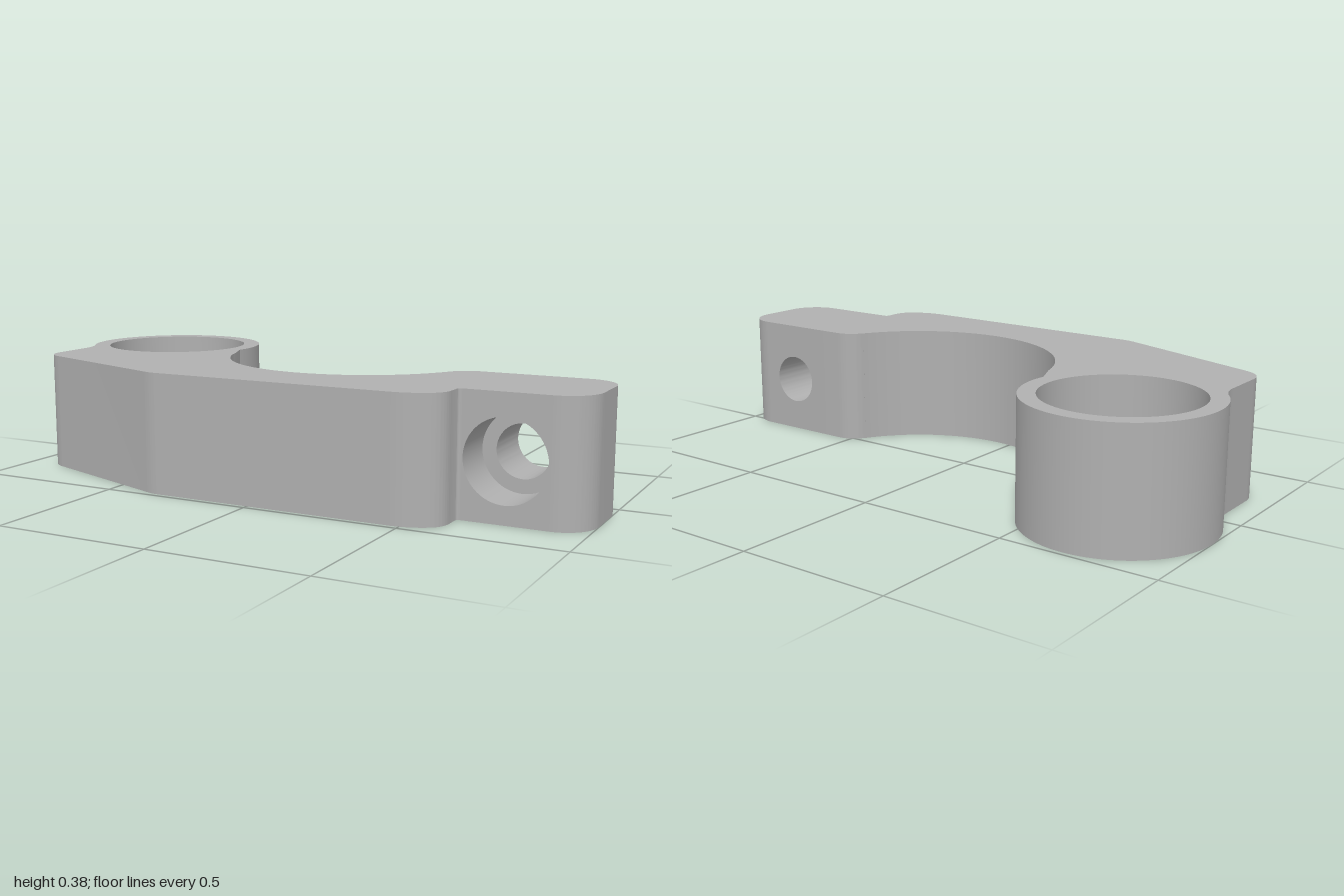
import * as THREE from 'three';
import { toCreasedNormals } from 'three/addons/utils/BufferGeometryUtils.js';

const H = 0.383;            // height of the arm
const BACK = -0.02;         // back face of the clamp lug
const FRONT = 0.333;        // front face of the clamp lug
const LUG_X0 = 0.625, LUG_X1 = 0.89;

export function createModel() {
  const group = new THREE.Group();
  const metal = new THREE.MeshStandardMaterial({ color: 0xb0b0b0 });
  metal.name = 'grey metal';

  const extrude = (shape, depth) => toCreasedNormals(
    new THREE.ExtrudeGeometry(shape, { depth, bevelEnabled: false, curveSegments: 40 }), 0.3);
  const add = (name, geometry) => {
    const mesh = new THREE.Mesh(geometry, metal);
    mesh.name = name;
    group.add(mesh);
  };
  // Plan shapes are drawn in (x, -z) and raised along y
  const raise = (shape, depth) => extrude(shape, depth).rotateX(-Math.PI / 2);
  const circle = (Type, x, y, r) => new Type().absarc(x, y, r, 0, Math.PI * 2, false);
  const ring = (x, y, outer, inner) => {
    const shape = circle(THREE.Shape, x, y, outer);
    shape.holes.push(circle(THREE.Path, x, y, inner));
    return shape;
  };

  // Curved arm with the round boss at its left end
  const bore = { x: -0.7, y: 0.185 };
  const arm = new THREE.Shape();
  arm.moveTo(LUG_X0, -BACK);
  arm.lineTo(0.548, -BACK);
  arm.quadraticCurveTo(0.491, -BACK, 0.465, -0.03);
  arm.absarc(0.065, 0.18, 0.451, -0.483, -2.872, true);
  arm.absarc(bore.x, bore.y, 0.3, -0.15, 3.75, false);
  arm.quadraticCurveTo(-0.92, -0.024, -0.92, -0.07);
  arm.lineTo(-0.92, -0.21);
  arm.quadraticCurveTo(-0.92, -0.278, -0.85, -0.302);
  arm.lineTo(-0.38, -0.47);
  arm.quadraticCurveTo(-0.35, -0.483, -0.32, -0.483);
  arm.lineTo(0.47, -0.483);
  arm.quadraticCurveTo(0.53, -0.483, 0.58, -0.45);
  arm.quadraticCurveTo(0.614, -0.427, 0.614, -0.385);
  arm.lineTo(0.614, -0.345);
  arm.quadraticCurveTo(0.614, -FRONT, LUG_X0, -FRONT);
  arm.closePath();
  arm.holes.push(circle(THREE.Path, bore.x, bore.y, 0.245));
  add('arm', raise(arm, H));

  // Thin lip at the foot of the large bore
  add('boreLip', raise(ring(bore.x, bore.y, 0.245, 0.207), 0.045));

  // Lug pierced from front to back by the screw hole
  const hole = { x: 0.757, y: 0.185 };
  const lug = new THREE.Shape();
  lug.moveTo(LUG_X0, 0);
  lug.lineTo(LUG_X1, 0);
  lug.lineTo(LUG_X1, H);
  lug.lineTo(LUG_X0, H);
  lug.closePath();
  lug.holes.push(circle(THREE.Path, hole.x, hole.y, 0.127));
  add('lug', extrude(lug, FRONT - BACK).translate(0, 0, BACK));

  // Narrow rear part of the screw hole, behind the counterbore
  add('screwSeat', extrude(ring(hole.x, hole.y, 0.127, 0.083), 0.193).translate(0, 0, BACK));

  // Rounded tip of the lug
  const r = 1 - LUG_X1;
  const tip = new THREE.Shape();
  tip.moveTo(LUG_X1, -FRONT);
  tip.absarc(LUG_X1, -FRONT + r, r, -Math.PI / 2, 0, false);
  tip.absarc(LUG_X1, -BACK - r, r, 0, Math.PI / 2, false);
  tip.closePath();
  add('lugTip', raise(tip, H));

  return group;
}
